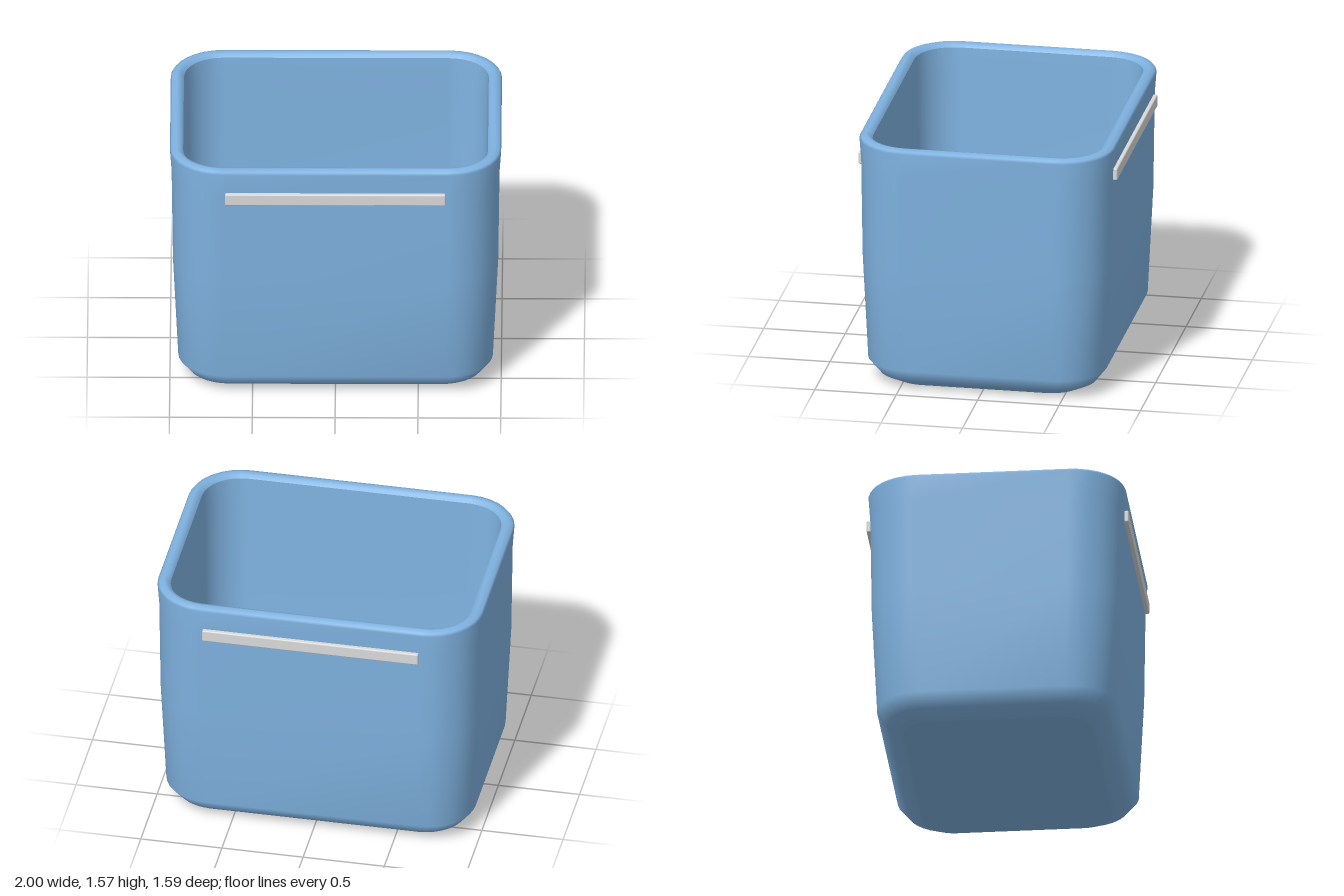
import * as THREE from 'three';
import { RoundedBoxGeometry } from 'three/addons/geometries/RoundedBoxGeometry.js';

const CORNER_STEPS = 8;

// Points [x, z] of a rounded rectangle, turning from +x towards +z
function ring(hx, hz, r) {
  const pts = [];
  for (let c = 0; c < 4; c++) {
    const sx = c === 0 || c === 3 ? 1 : -1;
    const sz = c < 2 ? 1 : -1;
    for (let i = 0; i <= CORNER_STEPS; i++) {
      const a = (c + i / CORNER_STEPS) * Math.PI / 2;
      pts.push([sx * (hx - r) + r * Math.cos(a), sz * (hz - r) + r * Math.sin(a)]);
    }
  }
  return pts;
}

// Skin through rounded rectangles, each given as [halfX, halfZ, radius, y]
function loft(sections) {
  const pos = [], index = [];
  const n = 4 * (CORNER_STEPS + 1);
  sections.forEach(([hx, hz, r, y], s) => {
    for (const [x, z] of ring(hx, hz, r)) pos.push(x, y, z);
    if (s === 0) return;
    for (let i = 0; i < n; i++) {
      const a = (s - 1) * n + i, b = (s - 1) * n + (i + 1) % n;
      index.push(a, a + n, b, b, a + n, b + n);
    }
  });
  const g = new THREE.BufferGeometry();
  g.setAttribute('position', new THREE.Float32BufferAttribute(pos, 3));
  g.setIndex(index);
  g.computeVertexNormals();
  return g;
}

// Flat rounded rectangle facing up (dir = 1) or down (dir = -1)
function plate([hx, hz, r, y], dir) {
  const shape = new THREE.Shape(ring(hx, hz, r).map(([x, z]) => new THREE.Vector2(x, z)));
  return new THREE.ShapeGeometry(shape).rotateX(-dir * Math.PI / 2).translate(0, y, 0);
}

export function createModel() {
  const group = new THREE.Group();
  const blue = new THREE.MeshStandardMaterial({ color: 0x7fb2e0 });
  blue.name = 'blue plastic';
  const grey = new THREE.MeshStandardMaterial({ color: 0xdadada });
  grey.name = 'light grey';

  const add = (name, geometry, material) => {
    const mesh = new THREE.Mesh(geometry, material);
    mesh.name = name;
    group.add(mesh);
    return mesh;
  };

  // Outer wall with chamfered foot and rolled rim
  const outer = [
    [0.80, 0.575, 0.19, 0],
    [0.89, 0.665, 0.25, 0.05],
    [0.95, 0.73, 0.29, 0.135],
    [0.982, 0.762, 0.31, 0.8],
    [0.99, 0.77, 0.315, 1.4],
    [1.0, 0.78, 0.32, 1.545],
    [0.99, 0.77, 0.31, 1.56],
    [0.96, 0.74, 0.28, 1.572],
    [0.935, 0.715, 0.255, 1.565],
    [0.92, 0.70, 0.24, 1.545],
  ];
  // Inner wall, from rim down to the floor
  const inner = [
    [0.92, 0.70, 0.24, 1.545],
    [0.915, 0.695, 0.24, 1.4],
    [0.905, 0.685, 0.24, 0.8],
    [0.875, 0.655, 0.23, 0.17],
    [0.81, 0.59, 0.19, 0.08],
  ];
  add('outerWallAndRim', loft(outer), blue);
  add('innerWall', loft(inner), blue);
  add('innerFloor', plate(inner[inner.length - 1], 1), blue);
  add('underside', plate(outer[0], -1), blue);

  // Grip bars on front and back
  for (const side of [1, -1]) {
    const bar = add(side > 0 ? 'frontGrip' : 'backGrip',
      new RoundedBoxGeometry(1.33, 0.075, 0.034, 2, 0.008), grey);
    bar.position.set(0, 1.382, side * 0.778);
  }
  return group;
}
